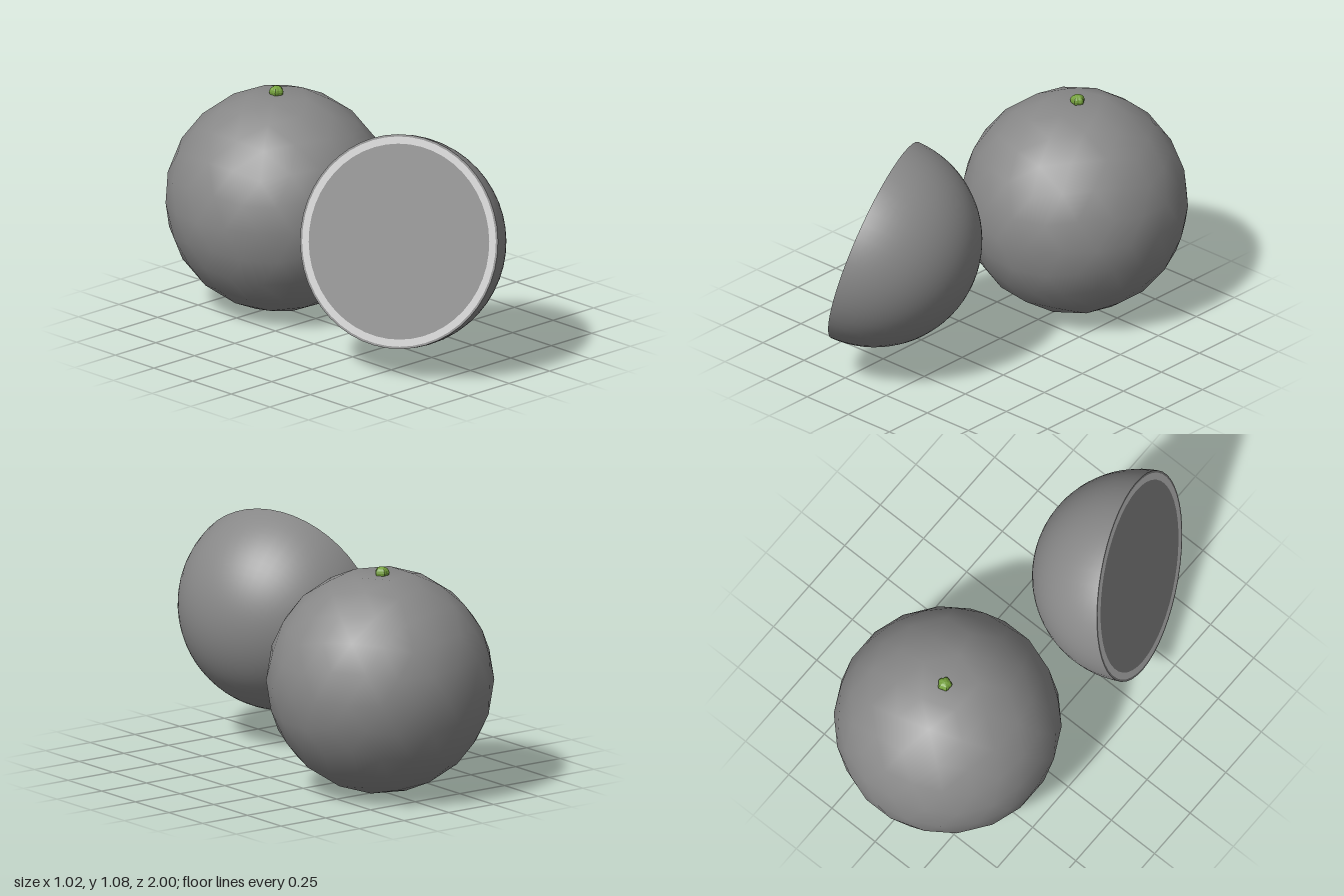
import * as THREE from 'three';
import { mergeVertices } from 'three/addons/utils/BufferGeometryUtils.js';

const skinMaterial = new THREE.MeshStandardMaterial({ color: 0x888888 });
const pithMaterial = new THREE.MeshStandardMaterial({ color: 0xcccccc });
const stemMaterial = new THREE.MeshStandardMaterial({ color: 0x74a03c, flatShading: true });

function part(name, geometry, material) {
  const mesh = new THREE.Mesh(geometry, material);
  mesh.name = name;
  return mesh;
}

// Icosahedron standing on a corner, halved twice into a low-poly ball
function lowPolyBall(radius) {
  const corner = (i, y, turn) => {
    const a = (i * 2 + turn) * Math.PI / 5;
    return [0.8944 * Math.cos(a), y, 0.8944 * Math.sin(a)];
  };
  const corners = [0, 1, 0, 0, -1, 0];
  for (let i = 0; i < 5; i++) corners.push(...corner(i, 0.4472, 0));
  for (let i = 0; i < 5; i++) corners.push(...corner(i, -0.4472, 1));
  const faces = [];
  for (let i = 0; i < 5; i++) {
    const u = 2 + i, u2 = 2 + (i + 1) % 5, l = 7 + i, l2 = 7 + (i + 1) % 5;
    faces.push(0, u2, u, u, u2, l, u2, l2, l, 1, l, l2);
  }
  const once = new THREE.PolyhedronGeometry(corners, faces, 1, 1);
  const points = Array.from(once.attributes.position.array);
  const order = points.slice(0, points.length / 3).map((_, i) => i);
  const ball = new THREE.PolyhedronGeometry(points, order, radius, 1);
  ball.deleteAttribute('uv');
  ball.deleteAttribute('normal');
  return mergeVertices(ball, 1e-4);
}

// Stem button: squashed ball with five soft lobes
function stemButton() {
  const g = new THREE.SphereGeometry(1, 20, 8);
  const p = g.attributes.position;
  for (let i = 0; i < p.count; i++) {
    const x = p.getX(i), z = p.getZ(i);
    const r = 0.031 * (1 + 0.1 * Math.cos(5 * Math.atan2(z, x)));
    p.setXYZ(i, x * r, p.getY(i) * 0.027, z * r);
  }
  g.computeVertexNormals();
  return part('stem', g, stemMaterial);
}

// Whole fruit: ball with its top corner pressed in, and a green stem
function wholeFruit() {
  const group = new THREE.Group();
  group.name = 'wholeFruit';
  const R = 0.51;
  const skin = lowPolyBall(R);
  const p = skin.attributes.position;
  for (let i = 0; i < p.count; i++) if (p.getY(i) > R * 0.99) p.setY(i, 0.485);
  skin.computeVertexNormals();
  const stem = stemButton();
  stem.position.set(0.003, 0.498, -0.017);
  group.add(part('wholeSkin', skin, skinMaterial), stem);
  group.position.set(0, R, -0.49);
  return group;
}

// Half fruit: smooth dome with a flat cut face looking along +y
function halfFruit() {
  const group = new THREE.Group();
  group.name = 'halfFruit';
  const R = 0.48, pith = 0.47, flesh = 0.438;
  const flat = (g) => g.rotateX(-Math.PI / 2);
  group.add(
    part('halfSkin', new THREE.SphereGeometry(R, 48, 20, 0, Math.PI * 2, Math.PI / 2, Math.PI / 2), skinMaterial),
    part('skinEdge', flat(new THREE.RingGeometry(pith, R, 48)), skinMaterial),
    part('pithRing', flat(new THREE.RingGeometry(flesh, pith, 48)), pithMaterial),
    part('cutFlesh', flat(new THREE.CircleGeometry(flesh, 48)), skinMaterial),
  );
  const facing = new THREE.Vector3(-0.886, 0.28, 0.365).normalize();
  group.quaternion.setFromUnitVectors(new THREE.Vector3(0, 1, 0), facing);
  group.position.set(-0.252, 0.618, 0.552);
  return group;
}

export function createModel() {
  const model = new THREE.Group();
  model.name = 'fruitAndHalf';
  model.add(wholeFruit(), halfFruit());
  return model;
}
